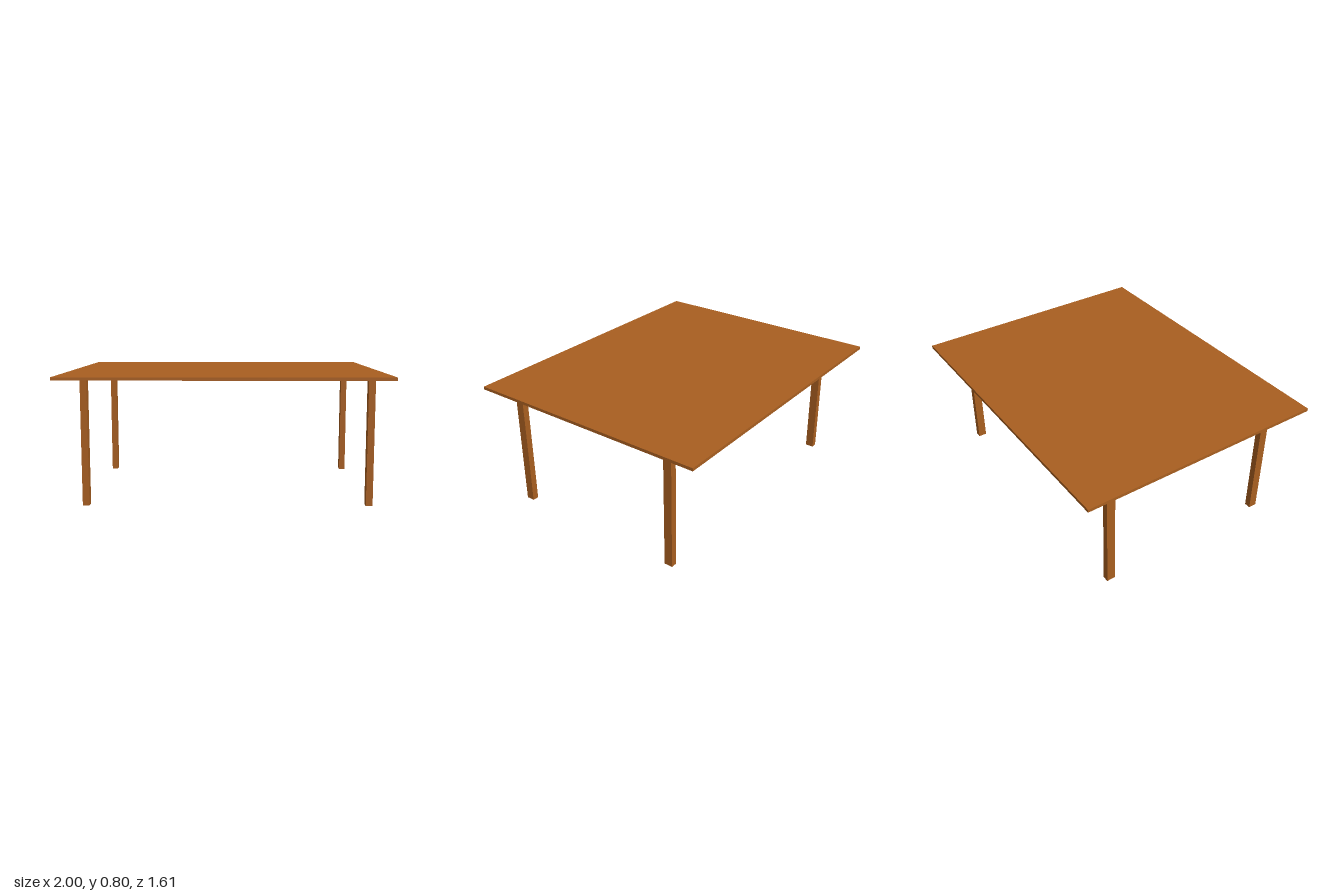
import * as THREE from 'three';

export function createModel() {
  const group = new THREE.Group();
  const wood = new THREE.MeshStandardMaterial({ color: 0xa95f20 });
  wood.name = 'brown wood';

  const addBox = (name, size, position) => {
    const mesh = new THREE.Mesh(new THREE.BoxGeometry(...size), wood);
    mesh.name = name;
    mesh.position.set(...position);
    group.add(mesh);
  };

  const topHeight = 0.803, thickness = 0.019;
  const legHeight = topHeight - thickness;

  // Thin tabletop
  addBox('tabletop', [2, thickness, 1.613], [0, topHeight - thickness / 2, 0]);

  // Four straight legs, set slightly off-centre under the top
  for (const [side, x] of [['Right', -0.848], ['Left', 0.89]]) {
    for (const [end, z] of [['front', 0.591], ['back', -0.57]]) {
      addBox(`${end}${side}Leg`, [0.041, legHeight, 0.055], [x, legHeight / 2, z]);
    }
  }
  return group;
}
